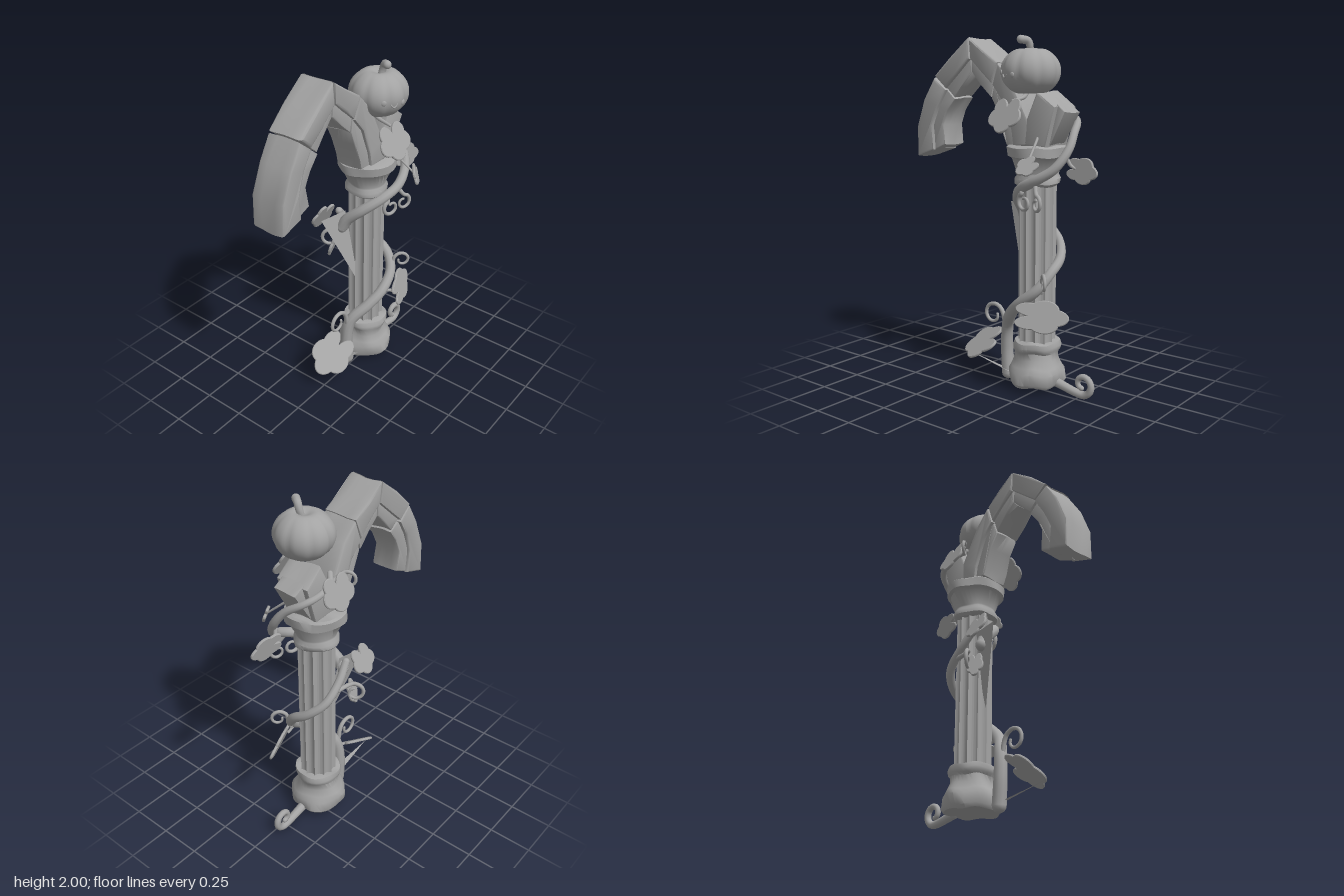
import * as THREE from 'three';
import { toCreasedNormals } from 'three/addons/utils/BufferGeometryUtils.js';

const V = (x, y, z) => new THREE.Vector3(x, y, z);
const CX = -0.03, CZ = -0.21; // column axis

export function createModel() {
  const model = new THREE.Group();
  const stone = new THREE.MeshStandardMaterial({ color: 0xa3a3a3, side: THREE.DoubleSide });
  stone.name = 'plain grey';

  function add(name, geometry, parent = model) {
    const mesh = new THREE.Mesh(geometry, stone);
    mesh.name = name;
    parent.add(mesh);
    return mesh;
  }

  // Pushes vertices by a smooth wave so stone looks hand-cut
  function weather(g, amount) {
    const p = g.attributes.position;
    for (let i = 0; i < p.count; i++) {
      const x = p.getX(i), y = p.getY(i), z = p.getZ(i);
      p.setXYZ(i, x + amount * Math.sin(31 * y + 23 * z), y + amount * Math.sin(27 * x + 29 * z),
        z + amount * Math.sin(33 * x + 25 * y));
    }
    return toCreasedNormals(g, 0.75);
  }

  // Revolved stonework around the column axis
  function turned(name, profile, amount) {
    const g = new THREE.LatheGeometry(profile.map(([r, y]) => new THREE.Vector2(r, y)), 32);
    add(name, weather(g, amount)).position.set(CX, 0, CZ);
  }
  turned('base', [[0, 0.03], [0.15, 0.03], [0.163, 0.05], [0.163, 0.11], [0.145, 0.14], [0.125, 0.18],
    [0.122, 0.22], [0.133, 0.235], [0.137, 0.255], [0.13, 0.28], [0.105, 0.285], [0, 0.285]], 0.006);
  turned('capital', [[0, 1.175], [0.11, 1.18], [0.127, 1.195], [0.128, 1.22], [0.115, 1.24], [0.115, 1.25],
    [0.15, 1.335], [0.17, 1.345], [0.172, 1.395], [0.16, 1.405], [0, 1.405]], 0.004);

  // Fluted shaft
  const flutes = [];
  for (let i = 0; i < 144; i++) {
    const a = i / 144 * Math.PI * 2;
    const r = 0.107 - 0.017 * Math.pow(Math.abs(Math.sin(a * 6)), 0.6);
    flutes.push(new THREE.Vector2(Math.cos(a) * r, Math.sin(a) * r));
  }
  const shaft = new THREE.ExtrudeGeometry(new THREE.Shape(flutes), { depth: 0.93, bevelEnabled: false });
  shaft.rotateX(-Math.PI / 2);
  add('flutedShaft', toCreasedNormals(shaft, 0.7)).position.set(CX, 0.26, CZ);

  // Blocks drawn as [z, y] outlines and given a width across x
  function block(name, outline, x0, x1, parent = model, bevel = 0.014) {
    const shape = new THREE.Shape(outline.map(([z, y]) => new THREE.Vector2(z, y)));
    const g = new THREE.ExtrudeGeometry(shape, {
      depth: x1 - x0 - 2 * bevel, steps: 4, bevelThickness: bevel, bevelSize: bevel, bevelOffset: -bevel, bevelSegments: 2,
    });
    g.rotateY(-Math.PI / 2);
    g.translate(x1 - bevel, 0, 0);
    add(name, weather(g, 0.004), parent);
  }
  // Each voussoir has a wide outer stone and a narrower inner moulding
  const voussoirs = [
    [[[0.624, 1.3], [0.618, 1.48], [0.56, 1.65], [0.475, 1.775]], [[0.41, 1.38], [0.42, 1.5], [0.39, 1.58], [0.33, 1.655]]],
    [[[0.475, 1.785], [0.36, 1.89], [0.21, 1.997]], [[0.335, 1.665], [0.28, 1.72], [0.205, 1.8]]],
    [[[0.205, 1.997], [0.1, 1.93], [0.0, 1.855]], [[0.2, 1.8], [0.13, 1.735], [0.06, 1.665]]],
    [[[0.0, 1.85], [-0.1, 1.76], [-0.22, 1.53], [-0.22, 1.4]], [[0.055, 1.66], [0.01, 1.57], [-0.03, 1.46], [-0.045, 1.4]]],
  ];
  const arch = new THREE.Group();
  arch.name = 'archBlocks';
  model.add(arch);
  for (const [outer, inner] of voussoirs) {
    const mid = outer.map((o, i) => [0, 1].map(k => o[k] + (inner[i][k] - o[k]) * 0.62));
    block('voussoir', [...outer, ...mid.slice().reverse()], -0.135, 0.078, arch);
    block('innerMoulding', [...outer.map((o, i) => [0, 1].map(k => o[k] * 0.2 + mid[i][k] * 0.8)), ...inner.slice().reverse()],
      -0.115, 0.058, arch, 0.01);
  }
  // Broken stub of the next arch
  block('springerStub', [[-0.19, 1.4], [-0.33, 1.4], [-0.39, 1.62], [-0.28, 1.7], [-0.2, 1.54]], -0.135, 0.078, arch);
  block('brokenFace', [[-0.31, 1.4], [-0.345, 1.42], [-0.44, 1.59], [-0.38, 1.635]], -0.1, 0.045, arch, 0.006);

  // Pumpkin with ribs and dimples at both ends
  const pumpkin = new THREE.Group();
  pumpkin.name = 'pumpkin';
  pumpkin.position.set(0.042, 1.808, CZ);
  model.add(pumpkin);
  const body = new THREE.SphereGeometry(0.165, 72, 32);
  const bp = body.attributes.position;
  for (let i = 0; i < bp.count; i++) {
    const x = bp.getX(i), y = bp.getY(i), z = bp.getZ(i);
    const ring = Math.hypot(x, z) / 0.165;
    const rib = 1 - 0.05 * Math.pow(Math.abs(Math.cos(Math.atan2(z, x) * 4 + 0.7)), 6) * ring;
    const dip = 0.82 - 0.2 * Math.exp(-ring * ring * 12);
    bp.setXYZ(i, x * rib, y * dip, z * rib);
  }
  body.computeVertexNormals();
  add('pumpkinBody', body, pumpkin);

  // Tube along points, tapering towards its tip
  function vine(name, pts, r0, r1, parent = model, segs = 64) {
    const curve = new THREE.CatmullRomCurve3(pts.map(p => V(...p)));
    const g = new THREE.TubeGeometry(curve, segs, 1, 10);
    const p = g.attributes.position, n = g.attributes.normal;
    for (let i = 0; i < p.count; i++) {
      const t = Math.floor(i / 11) / segs, k = r0 + (r1 - r0) * t - 1;
      p.setXYZ(i, p.getX(i) + n.getX(i) * k, p.getY(i) + n.getY(i) * k, p.getZ(i) + n.getZ(i) * k);
    }
    add(name, g, parent);
    for (const [at, r] of [[pts[0], r0], [pts[pts.length - 1], r1]]) {
      add('roundedEnd', new THREE.SphereGeometry(r, 10, 8), parent).position.set(...at);
    }
  }
  vine('pumpkinStem', [[0.01, 0.08, 0], [0.02, 0.13, -0.01], [0.034, 0.16, -0.005], [0.066, 0.168, 0.018]], 0.018, 0.023, pumpkin, 20);
  for (const [a, y] of [[0.77, -0.005], [0.02, -0.02]]) {
    const eye = add('eye', new THREE.SphereGeometry(0.015, 14, 10), pumpkin);
    eye.scale.z = 0.4;
    eye.position.set(Math.cos(a) * 0.162, y, Math.sin(a) * 0.162);
    eye.rotation.y = Math.PI / 2 - a;
  }
  vine('smile', [0.52, 0.46, 0.4, 0.34, 0.28].map((a, i) =>
    [Math.cos(a) * 0.162, -0.035 + 0.004 * (i - 2) ** 2, Math.sin(a) * 0.162]), 0.004, 0.004, pumpkin, 12);

  // Main vine winding around the column
  vine('lowerVine', [[-0.02, 0.04, -0.01], [-0.02, 0.2, 0], [0.0, 0.34, -0.02], [0.07, 0.44, -0.1], [0.11, 0.52, -0.19],
    [0.095, 0.61, -0.3], [0.03, 0.7, -0.345], [-0.07, 0.77, -0.34], [-0.15, 0.85, -0.28], [-0.165, 0.95, -0.18],
    [-0.15, 1.04, -0.1]], 0.04, 0.022);
  vine('upperVine', [[-0.105, 0.96, -0.07], [-0.07, 1.02, -0.08], [0.02, 1.1, -0.11], [0.1, 1.17, -0.19], [0.13, 1.22, -0.3],
    [0.1, 1.29, -0.41], [0.04, 1.39, -0.46], [-0.03, 1.48, -0.45], [-0.12, 1.54, -0.41], [-0.16, 1.57, -0.34],
    [-0.16, 1.6, -0.25], [-0.12, 1.63, -0.2]], 0.036, 0.016);

  // Lobed leaf: centre, facing direction, tip direction, length, width
  function leaf(c, facing, tip, length, width) {
    const pts = [];
    for (let i = 0; i < 60; i++) {
      const a = i / 60 * Math.PI * 2;
      const r = 0.40 + 0.1 * Math.abs(Math.cos(a * 2.5)) - 0.2 * Math.exp(-((a - Math.PI) ** 2) * 14);
      pts.push(new THREE.Vector2(Math.cos(a) * r * length, Math.sin(a) * r * width));
    }
    const g = new THREE.ExtrudeGeometry(new THREE.Shape(pts),
      { depth: 0.008, bevelThickness: 0.004, bevelSize: 0.004, bevelSegments: 1 });
    const z = V(...facing).normalize();
    const y = z.clone().cross(V(...tip)).normalize();
    const m = new THREE.Matrix4().makeBasis(y.clone().cross(z), y, z).setPosition(...c);
    add('leaf', toCreasedNormals(g.applyMatrix4(m), 0.6));
  }
  leaf([0, 0.195, 0.165], [0.5, 0.68, 0.32], [0, -0.42, 1], 0.3, 0.24);
  leaf([0.135, 0.475, -0.35], [1, 0.4, -0.4], [-0.4, 0, -1], 0.32, 0.18);
  leaf([0.19, 1.575, -0.155], [0.87, 0.45, 0.1], [0.3, -1, 0], 0.21, 0.23);
  leaf([0.225, 1.31, -0.325], [0.85, 0.35, -0.5], [0.4, -0.4, 0.5], 0.13, 0.09);
  leaf([0.02, 1.285, -0.535], [1, 0.15, 0.1], [0, -0.15, -1], 0.21, 0.14);
  leaf([-0.2, 1.565, -0.235], [-0.9, 0.35, -0.1], [-0.4, -1, 0], 0.2, 0.21);
  leaf([-0.195, 1.03, -0.01], [-0.9, 0.42, -0.1], [-0.4, -0.9, 0.2], 0.18, 0.16);
  leaf([-0.16, 0.82, -0.06], [-0.9, 0.3, 0.3], [-0.2, -1, 0.2], 0.16, 0.1);

  // Stretched flat pieces beside the leaves
  function flat(name, ...corners) {
    const g = new THREE.BufferGeometry();
    g.setAttribute('position', new THREE.Float32BufferAttribute(corners.flat(), 3));
    g.computeVertexNormals();
    add(name, g);
  }
  flat('stretchedSheet', [-0.145, 1.05, 0.07], [-0.02, 0.56, -0.125], [-0.11, 1.05, -0.11]);
  flat('groundSliver', [0.0, 0.12, 0.3], [0.03, 0.055, -0.1], [-0.03, 0.04, -0.1]);

  // Leaf stalks
  vine('stalk', [[0.11, 0.52, -0.19], [0.14, 0.51, -0.23], [0.15, 0.48, -0.27]], 0.012, 0.008, model, 10);
  vine('stalk', [[0.07, 1.45, -0.28], [0.14, 1.39, -0.3], [0.22, 1.32, -0.32]], 0.008, 0.006, model, 10);
  vine('stalk', [[0.04, 1.35, -0.45], [0.03, 1.31, -0.47], [0.02, 1.29, -0.5]], 0.012, 0.008, model, 10);
  vine('stalk', [[0.03, 1.7, -0.18], [0.06, 1.67, -0.18], [0.15, 1.65, -0.17]], 0.014, 0.008, model, 10);

  // Curled tendrils: root, centre of the coil, horizontal coil axis, radius, thickness
  function tendril(root, c, dir, radius, thick, start = 0, turn = 1) {
    const pts = [root];
    for (let i = 0; i <= 12; i++) {
      const a = start + turn * i / 12 * Math.PI * 2, r = radius * (1 - 0.6 * i / 12);
      pts.push([c[0] + dir[0] * Math.cos(a) * r, c[1] + Math.sin(a) * r, c[2] + dir[1] * Math.cos(a) * r]);
    }
    vine('tendril', pts, thick, thick * 0.55);
  }
  tendril([-0.01, 0.3, 0.0], [-0.01, 0.38, 0.095], [0, -1], 0.075, 0.015, 0.2);
  tendril([-0.03, 0.05, -0.36], [-0.03, 0.08, -0.53], [0, -1], 0.065, 0.027, -1.9);
  tendril([0.08, 0.6, -0.32], [0.13, 0.66, -0.37], [0.7, -0.7], 0.055, 0.013, 3.1, -1);
  tendril([0.1, 1.17, -0.19], [0.13, 1.1, -0.235], [0.3, -1], 0.055, 0.014, 2);
  tendril([0.12, 1.21, -0.3], [0.15, 1.1, -0.33], [0.4, -0.9], 0.05, 0.013, 1.5, -1);
  tendril([-0.165, 0.9, -0.2], [-0.2, 0.84, -0.08], [-0.8, 0.6], 0.06, 0.014, 1.8, -1);
  tendril([-0.15, 1.6, -0.22], [-0.19, 1.59, -0.14], [-0.8, 0.6], 0.05, 0.012, 2, -1);

  return model;
}
